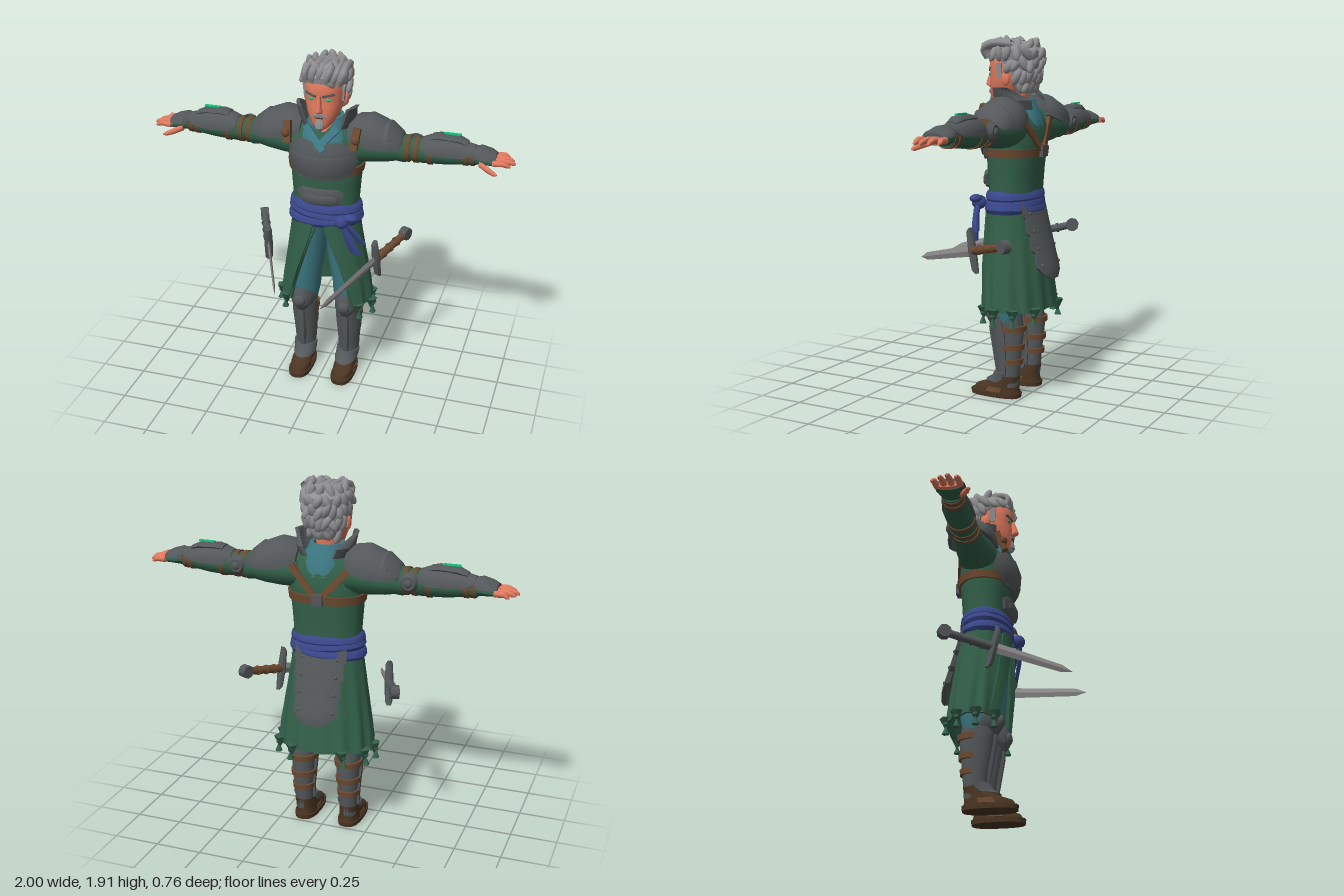
import * as THREE from 'three';
import { toCreasedNormals } from 'three/addons/utils/BufferGeometryUtils.js';

const paint = (name, color) => {
  const m = new THREE.MeshStandardMaterial({ color, side: THREE.DoubleSide });
  m.name = name;
  return m;
};
const V = (a) => new THREE.Vector3(...a);

// Loft through rings [t, centreA, centreB, radiusA, radiusB, startDeg, endDeg].
// Rings below 360 degrees become a thick curved plate; 90 degrees is the front on axis y.
function loft(rings, { n = 20, axis = 'y', thick = 0.014, p = 1, fold = 0, k = 14, crease = 0.6 } = {}) {
  const pow = (v) => Math.sign(v) * Math.abs(v) ** p;
  const loops = rings.map(([t, a, b, ra, rb, d0 = 0, d1 = 360], r) => {
    const at = (deg, inset) => {
      const q = (deg * Math.PI) / 180;
      const f = 1 + fold * Math.sin(k * q) * (1 - r / (rings.length - 1));
      const u = a + (ra - inset) * f * pow(Math.cos(q)), w = (rb - inset) * f * pow(Math.sin(q));
      return axis === 'y' ? [u, t, b + w] : [t, u, b - w];
    };
    const out = [];
    if (d1 - d0 >= 360) for (let i = 0; i < n; i++) out.push(at(d0 + (360 * i) / n, 0));
    else {
      for (let i = 0; i <= n; i++) out.push(at(d0 + ((d1 - d0) * i) / n, 0));
      for (let i = n; i >= 0; i--) out.push(at(d0 + ((d1 - d0) * i) / n, thick));
    }
    return out;
  });
  const pos = [], N = loops[0].length;
  const quad = (a, b, c, d) => pos.push(...a, ...b, ...c, ...a, ...c, ...d);
  for (let r = 0; r < loops.length - 1; r++)
    for (let i = 0; i < N; i++) {
      const j = (i + 1) % N, A = loops[r], B = loops[r + 1];
      quad(A[i], B[i], B[j], A[j]);
    }
  const A = loops[0], B = loops[loops.length - 1];
  for (let i = 0; i < N / 2 - 1; i++) {
    quad(A[i], A[i + 1], A[N - 2 - i], A[N - 1 - i]);
    quad(B[N - 1 - i], B[N - 2 - i], B[i + 1], B[i]);
  }
  const g = new THREE.BufferGeometry();
  g.setAttribute('position', new THREE.Float32BufferAttribute(pos, 3));
  return toCreasedNormals(g, crease);
}

function add(parent, name, geo, mat, at = [0, 0, 0]) {
  const m = new THREE.Mesh(geo, mat);
  m.name = name;
  m.position.set(...at);
  parent.add(m);
  return m;
}
const ball = new THREE.SphereGeometry(1, 14, 10);
function blob(parent, name, at, size, mat) {
  const m = add(parent, name, ball, mat, at);
  m.scale.set(...size);
  return m;
}
// Turn an object so local y runs along dir and local z faces the given normal
function orient(obj, dir, normal) {
  const y = dir.clone().normalize(), x = y.clone().cross(V(normal)).normalize();
  obj.quaternion.setFromRotationMatrix(new THREE.Matrix4().makeBasis(x, y, x.clone().cross(y)));
}
function bar(parent, name, p, q, w, d, mat, normal = [0, 0, 1]) {
  const a = V(p), b = V(q);
  const m = add(parent, name, new THREE.BoxGeometry(w, a.distanceTo(b), d), mat, a.clone().add(b).multiplyScalar(0.5).toArray());
  orient(m, b.sub(a), normal);
}

export function createModel() {
  const root = new THREE.Group();
  root.name = 'swordsman';
  const skin = paint('skin', 0xe27a5e), hair = paint('grey hair', 0x919092), steel = paint('armour', 0x54585a);
  const green = paint('green cloth', 0x33614a), teal = paint('teal cloth', 0x3c7882), blue = paint('blue sash', 0x3a488c);
  const leather = paint('leather', 0x6d4a30), boot = paint('dark leather', 0x4b3523);
  const gem = paint('bright green', 0x12c47c), blade = paint('blade steel', 0x8d8a8a);
  let seed = 7;
  const rnd = () => (seed = (seed * 16807) % 2147483647) / 2147483647;

  // Torso, skirt and sash
  add(root, 'tunic', loft([[1, 0, -.14, .185, .125], [1.12, 0, -.145, .183, .125], [1.22, 0, -.145, .19, .132], [1.34, 0, -.148, .2, .142],
    [1.44, 0, -.15, .2, .138], [1.51, 0, -.155, .165, .105], [1.56, 0, -.155, .08, .075]], { n: 28, p: .88 }), green);
  const skirtRing = (y, cz, ra, rz, gap) => [y, 0, cz, ra, rz, 90 + gap, 450 - gap];
  add(root, 'skirt', loft([skirtRing(.48, -.172, .262, .178, 42), skirtRing(.6, -.165, .25, .17, 38), skirtRing(.72, -.158, .232, .162, 30),
    skirtRing(.85, -.15, .212, .152, 19), skirtRing(.95, -.145, .198, .142, 9), skirtRing(1.04, -.14, .19, .135, 2)], { n: 84, fold: .035 }), green);
  const sash = new THREE.Group();
  sash.name = 'sash';
  root.add(sash);
  [[1.0, .05, .207, .145], [1.035, -.07, .203, .141], [1.07, -.03, .199, .14]].forEach(([y, tilt, ra, rz]) => {
    add(sash, 'sashWrap', loft([[-.022, 0, 0, ra - .01, rz - .01], [0, 0, 0, ra + .004, rz + .004], [.025, 0, 0, ra, rz], [.042, 0, 0, ra - .016, rz - .014]],
      { n: 28 }), blue, [0, y, -.14]).rotation.z = tilt;
  });
  blob(sash, 'sashKnot', [.13, 1.04, .01], [.04, .038, .04], blue);
  blob(sash, 'sashLoop', [.175, 1.065, .005], [.042, .022, .03], blue);
  add(sash, 'sashTail', loft([[.845, .205, -.01, .03, .008], [.93, .175, .01, .028, .012], [1.03, .135, .02, .018, .014]], { n: 10 }), blue);
  add(sash, 'sashTail', loft([[.9, .235, -.035, .022, .008], [.97, .195, -.01, .024, .01], [1.04, .14, .01, .016, .012]], { n: 10 }), blue);

  // Breastplate and belly plate with raised inner panels
  const plate = (name, rings) => add(root, name, loft(rings.map(([y, ra, rz, h]) => [y, 0, -.145, ra, rz, 90 - h, 90 + h]), { n: 24, thick: .03 }), steel);
  plate('breastplate', [[1.27, .19, .165, 36], [1.3, .2, .172, 58], [1.37, .21, .182, 66], [1.44, .205, .172, 60], [1.475, .195, .155, 42]]);
  plate('breastPanel', [[1.29, .194, .178, 32], [1.32, .205, .187, 48], [1.39, .212, .192, 54], [1.405, .21, .188, 50]]);
  plate('bellyPlate', [[1.115, .185, .148, 24], [1.13, .19, .158, 38], [1.19, .195, .163, 42], [1.205, .195, .158, 34]]);
  plate('bellyPanel', [[1.13, .19, .166, 24], [1.145, .19, .172, 30], [1.17, .19, .172, 30], [1.18, .19, .166, 24]]);

  // Harness straps
  add(root, 'chestStrap', loft([[1.285, 0, -.147, .205, .148], [1.33, 0, -.148, .21, .152]], { n: 28, p: .88 }), leather);
  for (const s of [1, -1]) bar(root, 'backStrap', [0, 1.31, -.3], [s * .17, 1.49, -.26], .035, .02, leather);
  add(root, 'backBuckle', new THREE.BoxGeometry(.06, .06, .03), steel, [0, 1.315, -.3]);

  // Overlapping plates hanging behind the hips
  for (let i = 0; i < 4; i++) {
    const y = .69 + i * .09, r = .225 - i * .028, h = 33 + i * 2;
    const ring = (dy, dr, a) => [y + dy, 0, -.15, .23, r + dr, 270 - a, 270 + a];
    add(root, 'hipPlate', loft([ring(-.045, .006, 9), ring(-.015, .006, h - 8), ring(.02, 0, h), ring(.115, -.03, h - 3)], { n: 14, thick: .025 }), steel);
    for (const s of [1, -1]) blob(root, 'rivet', [s * .095, y + .03, -.15 - (r - .01) * .92], [.011, .011, .011], steel);
  }

  // Neck and cowl
  add(root, 'neck', loft([[1.42, 0, -.1, .07, .085], [1.5, 0, -.125, .066, .075], [1.62, 0, -.14, .062, .065]]), skin);
  const cowlRing = (y, cz, ra, rz, gap) => [y, 0, cz, ra, rz, 90 + gap, 450 - gap];
  add(root, 'cowl', loft([cowlRing(1.43, -.14, .155, .15, 2), cowlRing(1.5, -.145, .14, .135, 17), cowlRing(1.55, -.15, .105, .105, 32),
    cowlRing(1.585, -.15, .09, .09, 42)], { n: 32, thick: .02, fold: .02, k: 9 }), teal);
  bar(root, 'cowlFold', [-.085, 1.55, -.045], [.03, 1.44, .022], .035, .022, teal, [0, .4, 1]);
  bar(root, 'cowlFold', [.085, 1.55, -.045], [-.01, 1.45, .016], .04, .022, teal, [0, .4, 1]);

  // Head and face
  const head = new THREE.Group();
  head.name = 'head';
  root.add(head);
  add(head, 'face', loft([[1.548, 0, -.045, .03, .035], [1.575, 0, -.065, .06, .064], [1.63, 0, -.1, .088, .1], [1.68, 0, -.113, .1, .113],
    [1.705, 0, -.12, .103, .115], [1.74, 0, -.122, .105, .125], [1.79, 0, -.13, .104, .13], [1.84, 0, -.135, .085, .11]], { n: 28, p: .92, crease: 1 }), skin);
  add(head, 'nose', loft([[1.643, 0, 0, .018, .012], [1.655, 0, .008, .022, .026], [1.668, 0, .008, .016, .026], [1.735, 0, -.002, .009, .013]], { n: 10, crease: 1 }), skin);
  add(head, 'goatee', loft([[1.54, 0, -.012, .012, .014], [1.56, 0, -.012, .026, .026], [1.59, 0, -.012, .026, .022], [1.605, 0, -.01, .012, .016]], { n: 10 }), hair);
  add(head, 'mouth', new THREE.BoxGeometry(.045, .005, .008), boot, [0, 1.615, .001]);

  // Hair: cap, back and sides, then swept locks
  add(head, 'hairCap', loft([[1.79, 0, -.142, .116, .138], [1.83, 0, -.142, .12, .145], [1.865, 0, -.14, .093, .118], [1.883, 0, -.14, .05, .07]], { n: 22 }), hair);
  add(head, 'hairBack', loft([[1.615, 0, -.16, .07, .08, 195, 345], [1.66, 0, -.16, .1, .108, 190, 350], [1.73, 0, -.155, .118, .122, 185, 355],
    [1.8, 0, -.145, .12, .135, 150, 390]], { n: 22, thick: .03 }), hair);
  [[1.65, 7, 205, 335, .092, .1], [1.7, 9, 195, 345, .11, .118], [1.76, 11, 175, 365, .116, .128], [1.815, 15, 100, 440, .118, .133], [1.858, 11, 90, 450, .09, .105]]
    .forEach(([y, count, d0, d1, ra, rz]) => {
      for (let i = 0; i < count; i++) {
        const q = THREE.MathUtils.degToRad(d0 + ((d1 - d0) * (i + .5)) / count);
        const m = add(head, 'hairLock', new THREE.IcosahedronGeometry(1, 1), hair, [Math.cos(q) * ra, y + (rnd() - .5) * .02, -.148 + Math.sin(q) * rz]);
        m.scale.set(.023, .042 + rnd() * .01, .02);
        orient(m, V([-Math.sin(q) * (rnd() - .5) * 1.8, 1, Math.cos(q) * (rnd() - .5) * 1.8 - .15]), [Math.cos(q), .3, Math.sin(q)]);
      }
    });
  [-.08, -.045, -.01, .03, .065, .095].forEach((x, i) => {
    const path = new THREE.CatmullRomCurve3([[x, 1.8, -.025], [x * 1.15 + .01, 1.848, -.012], [x * 1.1 + .015, 1.873, -.07], [x + .02, 1.868, -.17]].map(V));
    add(head, 'quiff', new THREE.TubeGeometry(path, 10, .018 + (i % 2) * .004, 6), hair);
  });

  for (const s of [1, -1]) {
    const g = new THREE.Group();
    g.name = s > 0 ? 'leftSide' : 'rightSide';
    g.scale.x = s;
    root.add(g);

    // Features
    blob(g, 'eye', [.044, 1.712, -.013], [.017, .007, .007], gem);
    bar(g, 'eyebrow', [.018, 1.732, .003], [.075, 1.742, -.027], .012, .012, steel);
    bar(g, 'moustache', [0, 1.634, .006], [.036, 1.618, -.008], .014, .014, hair);
    bar(g, 'sideburn', [.1, 1.69, -.1], [.107, 1.77, -.095], .03, .014, hair, [1, 0, 0]);
    blob(g, 'ear', [.108, 1.69, -.135], [.014, .038, .024], skin);

    // Leg, greave, knee guard and boot
    add(g, 'trouserLeg', loft([[.42, .13, -.16, .068, .075], [.52, .13, -.16, .088, .098], [.6, .128, -.16, .092, .1], [.75, .11, -.155, .1, .11], [1, .08, -.145, .09, .11]], { n: 18 }), teal);
    add(g, 'lowerLeg', loft([[.06, .13, -.17, .048, .055], [.2, .13, -.183, .05, .053], [.36, .13, -.178, .064, .076], [.46, .13, -.165, .066, .075]], { n: 18 }), steel);
    add(g, 'greave', loft([[.12, .13, -.175, .06, .07, 0, 180], [.2, .13, -.175, .062, .075, -5, 185], [.36, .13, -.17, .075, .1, -5, 185], [.43, .13, -.165, .074, .1, 5, 175]], { n: 10 }), steel);
    add(g, 'greaveRidge', loft([[.14, .13, -.12, .022, .028], [.36, .13, -.095, .034, .04], [.4, .13, -.09, .03, .035]], { n: 6 }), steel);
    add(g, 'kneeGuard', loft([[.4, .13, -.15, .045, .095, 20, 160], [.44, .13, -.15, .072, .12, 0, 180], [.5, .13, -.15, .075, .115, 0, 180], [.54, .13, -.15, .06, .1, 25, 155]], { n: 10, thick: .02 }), steel);
    blob(g, 'kneeBoss', [.13, .47, -.04], [.035, .035, .02], steel);
    add(g, 'ankleGuard', loft([[.085, .125, -.15, .066, .115, 10, 170], [.11, .127, -.16, .066, .085, 0, 180], [.14, .13, -.17, .068, .078, 0, 180]], { n: 10 }), steel);
    for (const [y, r] of [[.2, .06], [.28, .068], [.38, .076]])
      add(g, 'legStrap', loft([[y - .014, .13, -.18, r, r + .008, 170, 370], [y + .016, .13, -.18, r + .002, r + .01, 170, 370]], { n: 12 }), leather);
    add(g, 'bootSole', loft([[0, .127, -.093, .064, .142], [.025, .127, -.093, .066, .145]], { n: 20, p: .75 }), boot);
    add(g, 'boot', loft([[.02, .127, -.095, .061, .137], [.05, .127, -.1, .06, .125], [.075, .127, -.135, .056, .09], [.12, .13, -.168, .052, .062]], { n: 20, p: .85 }), boot);
    add(g, 'bootStrap', loft([[.03, .127, -.1, .066, .1], [.055, .127, -.11, .064, .092]], { n: 18 }), leather);

    // Hanging coat panel and hem tassels
    add(g, 'coatPanel', loft([[.5, 0, -.17, .272, .186, 30, 46], [.7, 0, -.158, .246, .178, 38, 58], [.88, 0, -.148, .218, .16, 46, 72], [1.02, 0, -.14, .198, .144, 52, 82]], { n: 10 }), green);
    for (const deg of [38, 8, -25, -58]) {
      const q = (deg * Math.PI) / 180, x = .265 * Math.cos(q), z = -.172 + .18 * Math.sin(q);
      add(g, 'hemPoint', new THREE.ConeGeometry(.035, .07, 5).rotateX(Math.PI), green, [x, .465, z]);
      blob(g, 'tasselKnot', [x + .01, .465, z], [.014, .014, .014], green);
      add(g, 'tassel', new THREE.ConeGeometry(.02, .05, 6), green, [x + .01, .435, z]);
    }

    // Arm, bracer and straps
    add(g, 'sleeve', loft([[.13, 1.43, -.16, .095, .11], [.24, 1.43, -.17, .092, .1], [.33, 1.425, -.178, .078, .085], [.38, 1.427, -.18, .07, .075], [.42, 1.427, -.18, .074, .078],
      [.46, 1.43, -.18, .064, .066], [.52, 1.43, -.18, .068, .072], [.64, 1.43, -.182, .062, .07], [.74, 1.43, -.18, .05, .056], [.8, 1.43, -.18, .045, .052]], { axis: 'x', n: 18, crease: .9 }), green);
    for (const [x, r] of [[.44, .072], [.485, .071], [.56, .072], [.745, .055], [.78, .052]])
      add(g, 'armStrap', loft([[x - .012, 1.43, -.18, r, r + .004], [x + .012, 1.43, -.18, r, r + .004]], { axis: 'x', n: 18 }), leather);
    add(g, 'bracer', loft([[.51, 1.435, -.18, .066, .072, -70, 70], [.55, 1.438, -.182, .08, .078, -95, 95], [.66, 1.438, -.182, .08, .078, -95, 95], [.74, 1.435, -.18, .066, .066, -90, 90],
      [.79, 1.435, -.18, .055, .06, -65, 65]], { axis: 'x', n: 10 }), steel);
    add(g, 'bracerRidge', loft([[.56, 1.51, -.185, .014, .04], [.6, 1.515, -.185, .02, .042], [.7, 1.51, -.185, .02, .04], [.75, 1.495, -.185, .012, .03]], { axis: 'x', n: 8 }), steel);
    add(g, 'bracerGem', new THREE.BoxGeometry(.09, .008, .016), gem, [.665, 1.535, -.187]);
    add(g, 'elbowGuard', new THREE.CylinderGeometry(.035, .055, .03, 12).rotateX(-Math.PI / 2), steel, [.465, 1.44, -.255]);
    blob(g, 'elbowBoss', [.465, 1.44, -.27], [.022, .022, .012], steel);

    // Hand
    add(g, 'glove', loft([[.78, 1.432, -.18, .04, .05], [.83, 1.43, -.177, .034, .066], [.885, 1.427, -.177, .026, .07]], { axis: 'x', n: 14 }), green);
    add(g, 'handGuard', loft([[.79, 1.435, -.18, .05, .06, -85, 85], [.82, 1.437, -.178, .054, .078, -85, 85], [.87, 1.435, -.178, .04, .078, -80, 80], [.9, 1.43, -.178, .03, .06, -70, 70]], { axis: 'x', n: 10 }), steel);
    add(g, 'palm', loft([[.86, 1.426, -.177, .018, .062], [.905, 1.424, -.177, .017, .066]], { axis: 'x', n: 12 }), skin);
    [[-.237, .965], [-.198, .99], [-.16, 1], [-.12, .98]].forEach(([z, end]) => add(g, 'finger', loft([[.89, 1.426, z, .017, .017],
      [.94, 1.428, z * 1.02, .016, .016], [end - .015, 1.42, z * 1.03, .013, .013], [end, 1.415, z * 1.03, .006, .006]], { axis: 'x', n: 8, crease: 1 }), skin));
    add(g, 'thumb', loft([[.82, 1.415, -.125, .018, .018], [.865, 1.4, -.095, .018, .017], [.9, 1.388, -.08, .014, .014], [.92, 1.383, -.075, .006, .006]], { axis: 'x', n: 8, crease: 1 }), skin);

    // Layered shoulder armour
    add(g, 'pauldron', loft([[.13, 1.48, -.17, .09, .105, -80, 80], [.17, 1.475, -.175, .118, .125, -90, 90], [.24, 1.465, -.18, .138, .132, -95, 95], [.31, 1.455, -.18, .12, .125, -95, 95],
      [.345, 1.45, -.18, .1, .112, -90, 90]], { axis: 'x', n: 14, thick: .02 }), steel);
    add(g, 'pauldronRim', loft([[.31, 1.455, -.18, .112, .12, -95, 95], [.34, 1.455, -.18, .113, .12, -95, 95], [.4, 1.44, -.18, .078, .09, -85, 85], [.415, 1.435, -.18, .06, .075, -60, 60]], { axis: 'x', n: 14, thick: .02 }), steel);
    add(g, 'collarGuard', loft([[1.53, 0, -.17, .135, .13, -55, 45], [1.58, 0, -.17, .155, .145, -50, 42], [1.645, 0, -.17, .17, .16, 0, 38]], { n: 12, thick: .018 }), steel);
    bar(g, 'shoulderStrap', [.19, 1.56, -.055], [.18, 1.45, -.015], .04, .03, leather);
    blob(g, 'strapBuckle', [.19, 1.505, -.02], [.024, .026, .02], leather);
    for (const z of [-.09, -.27]) blob(g, 'rivet', [.35, 1.5, z], [.012, .012, .012], steel);

    // Sword at the hip
    const sword = new THREE.Group();
    sword.name = s > 0 ? 'longSword' : 'shortSword';
    sword.position.set(.31, .81, -.05);
    orient(sword, V([-.19, -.1, .43]), [1, 0, .3]);
    g.add(sword);
    const len = s > 0 ? .48 : .43, grip = s > 0 ? leather : steel;
    add(sword, 'blade', loft([[0, 0, 0, .03, .008], [len - .06, 0, 0, .021, .006], [len, 0, 0, .001, .001]], { n: 4, crease: .1 }), blade);
    add(sword, 'guard', loft([[-.12, -.01, 0, .008, .012], [-.1, 0, 0, .016, .02], [0, 0, 0, .022, .024], [.1, 0, 0, .016, .02], [.12, -.01, 0, .008, .012]], { n: 8 }).rotateZ(Math.PI / 2), steel);
    add(sword, 'grip', new THREE.CylinderGeometry(.023, .02, .24, 10), grip, [0, -.13, 0]);
    for (const y of [-.06, -.12, -.18]) add(sword, 'gripBand', new THREE.CylinderGeometry(.026, .026, .012, 10), grip, [0, y, 0]);
    add(sword, 'pommel', new THREE.CylinderGeometry(.036, .036, .045, 8).rotateX(Math.PI / 2), steel, [0, -.265, 0]);
  }
  return root;
}
